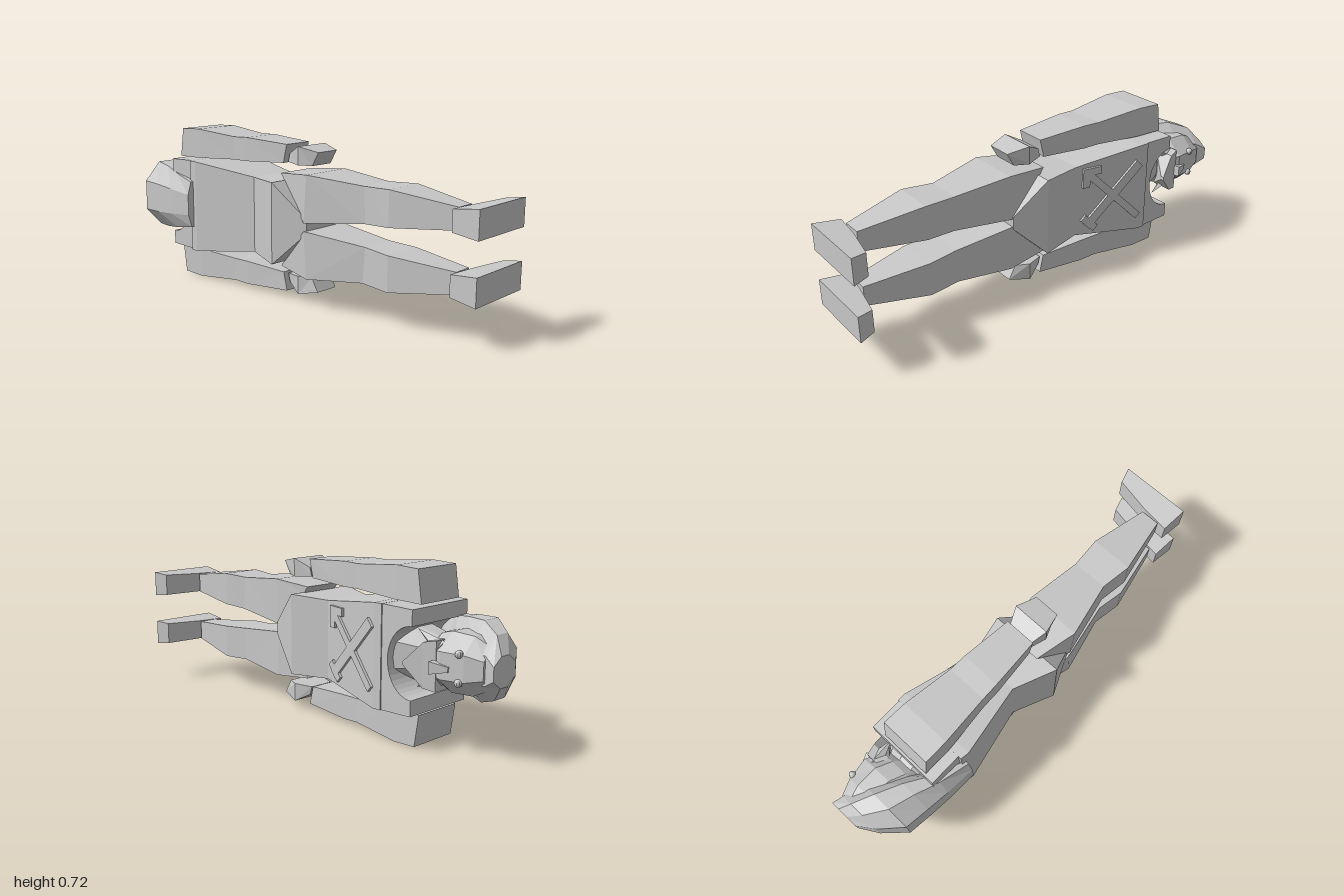
import * as THREE from 'three';

const grey = new THREE.MeshStandardMaterial({ color: 0xc8c8c8, flatShading: true });
grey.name = 'plain grey';
const MID = 0.36; // height of the body's long axis; the figure lies on its side
const HEAD = 0.37; // height of the head's axis

// Closed flat-sided solid through rings of [x, y, z] points
function loft(rings) {
  const n = rings[0].length, pos = [];
  const tri = (a, b, c) => pos.push(...a, ...b, ...c);
  for (let i = 0; i < rings.length - 1; i++) {
    for (let j = 0; j < n; j++) {
      const k = (j + 1) % n, A = rings[i], B = rings[i + 1];
      tri(A[j], A[k], B[k]);
      tri(A[j], B[k], B[j]);
    }
  }
  const last = rings[rings.length - 1];
  for (let j = 1; j < n - 1; j++) {
    tri(rings[0][0], rings[0][j + 1], rings[0][j]);
    tri(last[0], last[j], last[j + 1]);
  }
  // turn the faces outward when the rings ran the other way
  let volume = 0;
  const v = [0, 1, 2].map(() => new THREE.Vector3());
  for (let i = 0; i < pos.length; i += 9) {
    v.forEach((p, q) => p.fromArray(pos, i + q * 3));
    volume += v[0].dot(v[1].clone().cross(v[2]));
  }
  if (volume < 0) {
    for (let i = 0; i < pos.length; i += 9) {
      for (let c = 0; c < 3; c++) [pos[i + 3 + c], pos[i + 6 + c]] = [pos[i + 6 + c], pos[i + 3 + c]];
    }
  }
  const g = new THREE.BufferGeometry();
  g.setAttribute('position', new THREE.Float32BufferAttribute(pos, 3));
  g.computeVertexNormals();
  return g;
}

// Rectangular ring; the low-y and high-y sides may sit at different x
const rect = ([x0, x1, y0, y1, z0, z1]) =>
  [[x0, y0, z0], [x1, y1, z0], [x1, y1, z1], [x0, y0, z1]];

// Rectangular ring centred on the body axis: x, half width, front z, back z
const body = ([x, h, z0, z1]) => rect([x, x, MID - h, MID + h, z0, z1]);

// Eight-cornered ring centred on the head axis
function octagon([x, h, z0, z1]) {
  const c = h * 0.45, d = (z1 - z0) * 0.33;
  return [[-c, z0], [c, z0], [h, z0 + d], [h, z1 - d], [c, z1], [-c, z1], [-h, z1 - d], [-h, z0 + d]]
    .map(([y, z]) => [x, HEAD + y, z]);
}

export function createModel() {
  const model = new THREE.Group();
  model.name = 'lyingFigure';
  const add = (name, geometry, parent = model) => {
    const m = new THREE.Mesh(geometry, grey);
    m.name = name;
    parent.add(m);
    return m;
  };

  // Torso and pelvis
  add('torso', loft([[-0.52, 0.215, -0.185, 0.18], [-0.48, 0.215, -0.185, 0.185],
    [-0.15, 0.172, -0.11, 0.12]].map(body)));
  add('pelvis', loft([[-0.15, 0.172, -0.11, 0.12], [0.04, 0.18, -0.15, 0.2],
    [0.19, 0.03, -0.1, 0.14]].map(body)));

  // Shoulder yoke with a rounded neck opening
  const yoke = new THREE.Shape();
  yoke.moveTo(-0.5, MID - 0.215);
  yoke.lineTo(-0.5, MID + 0.215);
  yoke.lineTo(-0.67, MID + 0.21);
  yoke.lineTo(-0.67, MID + 0.145);
  yoke.absellipse(-0.67, MID, 0.12, 0.145, Math.PI / 2, -Math.PI / 2, true);
  yoke.lineTo(-0.67, MID - 0.21);
  yoke.closePath();
  const yokeGeo = new THREE.ExtrudeGeometry(yoke, { depth: 0.345, bevelEnabled: false, curveSegments: 10 });
  yokeGeo.translate(0, 0, -0.18);
  add('shoulderYoke', yokeGeo);
  add('neck', loft([[-0.72, 0.07, -0.08, 0.09], [-0.54, 0.125, -0.15, 0.12]].map(octagon)));

  // Crossed relief strips on the chest
  const relief = new THREE.Group();
  relief.name = 'chestStrips';
  relief.position.set(-0.335, MID, -0.155);
  relief.rotation.y = -0.225;
  model.add(relief);
  const strip = (name, x, y, length, angle, width = 0.035) => {
    const m = add(name, new THREE.BoxGeometry(length, width, 0.018), relief);
    m.position.set(x, y, 0);
    m.rotation.z = angle;
  };
  const q = Math.PI / 4;
  strip('risingStrip', 0, 0, 0.39, q);
  strip('fallingStrip', 0, 0, 0.38, -q, 0.045);
  strip('stripBarb', 0.11, 0.14, 0.09, 0);
  strip('stripBarb', 0.14, 0.11, 0.09, Math.PI / 2);
  strip('stripCrossbar', 0.12, -0.12, 0.09, q);

  // Limbs are made for the upper side and mirrored to the lower one
  for (const upper of [true, false]) {
    const side = upper ? 'left' : 'right';
    const limb = (name, rings) => add(side + name, loft(
      rings.map((r) => r.map(([x, y, z]) => [x, upper ? y : 2 * MID - y, z]))));

    limb('Arm', [
      [-0.66, -0.64, 0.58, 0.715, -0.115, 0.12], [-0.52, -0.53, 0.583, 0.72, -0.11, 0.12],
      [-0.3, -0.3, 0.595, 0.7, -0.085, 0.1], [-0.22, -0.22, 0.595, 0.703, -0.082, 0.098],
      [-0.005, 0.015, 0.607, 0.69, -0.062, 0.08],
    ].map(rect));
    limb('Hand', [
      [0.01, 0.02, 0.612, 0.65, -0.055, 0.065], [0.09, 0.09, 0.607, 0.688, -0.085, 0.088],
      [0.15, 0.185, 0.607, 0.668, -0.055, 0.063],
    ].map(rect));
    limb('Leg', [
      [0.03, 0.01, 0.54, 0.568, -0.08, 0.11], [0.185, 0.2, 0.378, 0.585, -0.095, 0.155],
      [0.47, 0.46, 0.408, 0.562, -0.068, 0.095], [0.6, 0.6, 0.416, 0.568, -0.078, 0.115],
      [0.88, 0.88, 0.44, 0.53, -0.03, 0.058],
    ].map(rect));

    // Foot: wedge outline swept across its width, wider at the sole
    const outline = [[0.88, 0.1], [1, 0.11], [1, -0.22], [0.93, -0.2], [0.895, -0.03]];
    const across = (inner, flare) => outline.map(([x, z]) =>
      [x, inner + flare * (x - 0.88) / 0.12, z]);
    limb('Foot', [across(0.44, -0.012), across(0.53, 0.016)]);
  }

  // Head: hair sweeping down the back, and face toward -z
  add('hair', loft([
    [-1, 0.06, -0.12, 0.02], [-0.95, 0.125, -0.1, 0.1], [-0.86, 0.16, -0.07, 0.188],
    [-0.75, 0.153, 0, 0.2], [-0.64, 0.135, 0.09, 0.21], [-0.5, 0.108, 0.16, 0.215],
  ].map(octagon)));
  add('face', loft([
    [-0.95, 0.08, -0.11, 0.05], [-0.88, 0.115, -0.135, 0.06], [-0.78, 0.12, -0.15, 0.09],
    [-0.71, 0.1, -0.12, 0.11], [-0.66, 0.065, -0.07, 0.1],
  ].map(octagon)));
  add('beard', loft([
    [-0.76, 0.1, -0.145, -0.06], [-0.71, 0.09, -0.16, -0.06], [-0.635, 0.008, -0.188, -0.172],
  ].map(body)));
  add('nose', loft([
    [-0.82, 0.01, -0.15, -0.13], [-0.75, 0.025, -0.178, -0.13],
  ].map(body)));

  for (const s of [-1, 1]) {
    add('eye', new THREE.SphereGeometry(0.016, 10, 8)).position.set(-0.86, HEAD + s * 0.055, -0.138);
    // pointed side whisker
    const whisker = add('whisker', new THREE.ConeGeometry(0.035, 0.13, 4));
    whisker.position.set(-0.7, HEAD + s * 0.085, -0.11);
    whisker.rotation.z = -Math.PI / 2 + s * 0.5;
  }
  return model;
}
